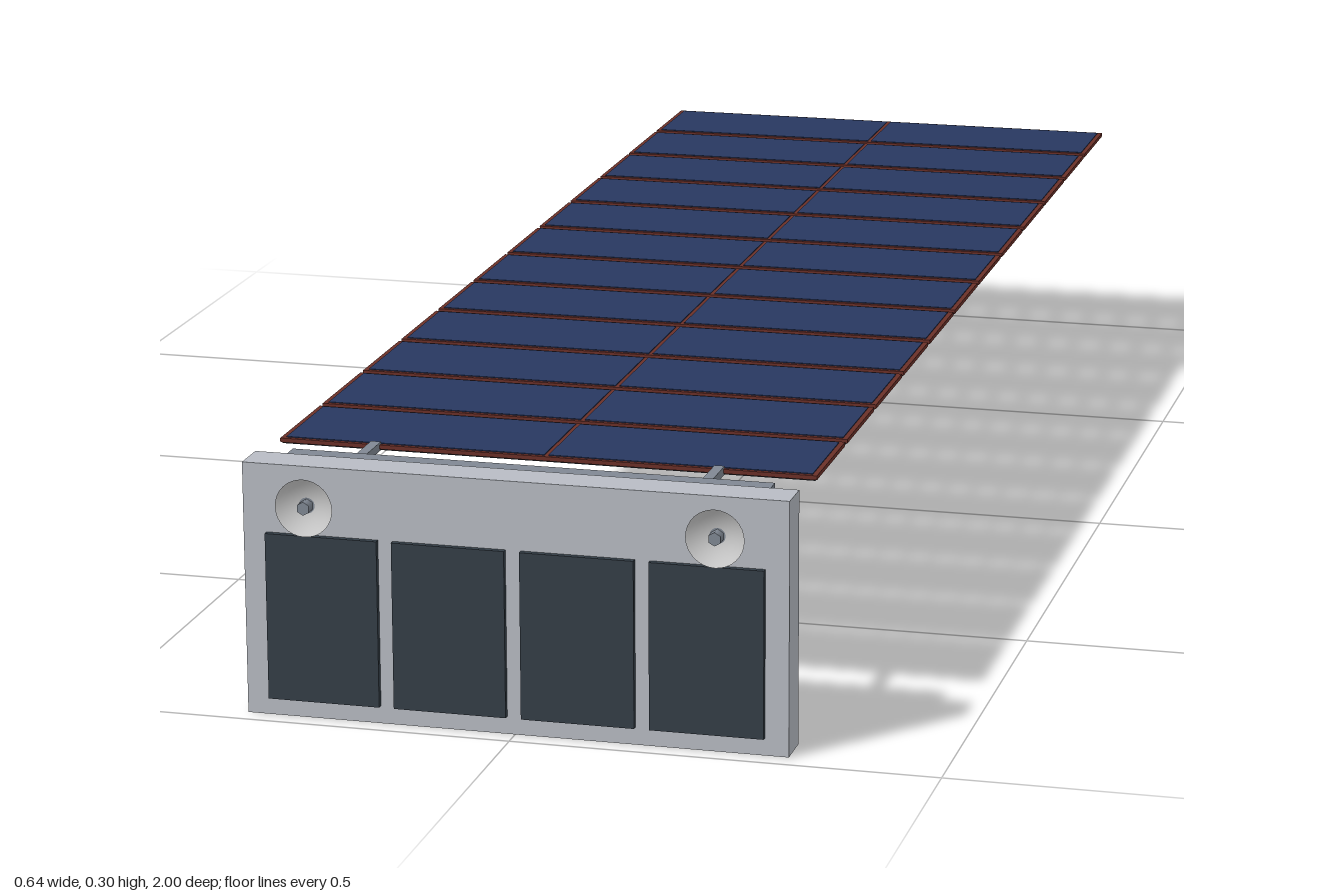
import * as THREE from 'three';

const paint = (color, side = THREE.FrontSide) => new THREE.MeshStandardMaterial({ color, side });

export function createModel() {
  const model = new THREE.Group();
  const bodyGrey = paint(0xb8bcc4);
  const metal = paint(0x808893);
  const antennaDark = paint(0x343e47);
  const cellBlue = paint(0x283860);
  const frameRed = paint(0x6b3028);
  const backBlack = paint(0x222328);
  const dishWhite = paint(0xe4e4e4, THREE.DoubleSide);

  // Box given by its min and max corners
  function box(name, mat, [x0, y0, z0], [x1, y1, z1], parent = model) {
    const mesh = new THREE.Mesh(new THREE.BoxGeometry(x1 - x0, y1 - y0, z1 - z0), mat);
    mesh.position.set((x0 + x1) / 2, (y0 + y1) / 2, (z0 + z1) / 2);
    mesh.name = name;
    parent.add(mesh);
    return mesh;
  }

  // Cylinder lying along z
  function rod(name, mat, r, sides, x, y, z0, z1, parent = model) {
    const geo = new THREE.CylinderGeometry(r, r, z1 - z0, sides).rotateX(Math.PI / 2);
    const mesh = new THREE.Mesh(geo, mat);
    mesh.position.set(x, y, (z0 + z1) / 2);
    mesh.name = name;
    parent.add(mesh);
  }

  // Flat upright satellite body
  box('body', bodyGrey, [-0.32, 0, 0.93], [0.32, 0.3, 0.976]);

  // Four phased array antennas on the front
  for (const x of [-0.226, -0.0755, 0.0755, 0.226]) {
    box('antennaPanel', antennaDark, [x - 0.0665, 0.021, 0.974], [x + 0.0665, 0.219, 0.983]);
  }

  // Back fittings: hinge rail and thruster box
  box('hingeRail', metal, [-0.285, 0.279, 0.9], [0.285, 0.297, 0.932]);
  box('thrusterBox', metal, [-0.035, 0.052, 0.915], [0.035, 0.118, 0.932]);

  // Dish antennas and array arms, mirrored left and right
  const bowl = [];
  for (let i = 0; i <= 8; i++) {
    const r = 0.034 * i / 8;
    bowl.push(new THREE.Vector2(r, 0.013 * (i / 8) ** 2));
  }
  for (const s of [-1, 1]) {
    const dish = new THREE.Group();
    dish.name = 'dishAntenna';
    const reflector = new THREE.Mesh(new THREE.LatheGeometry(bowl, 32).rotateX(Math.PI / 2), dishWhite);
    reflector.position.z = 0.985;
    reflector.name = 'reflector';
    dish.add(reflector);
    rod('dishMount', metal, 0.01, 12, 0, 0, 0.974, 0.986, dish);
    rod('feedHorn', metal, 0.008, 6, 0, 0, 0.985, 1, dish);
    dish.position.set(s * 0.24, 0.257, 0);
    model.add(dish);
    box('arrayArm', metal, [s * 0.205 - 0.006, 0.284, 0.838], [s * 0.205 + 0.006, 0.294, 0.905]);
  }

  // Solar array: a chain of twelve thin panels running backwards
  const count = 12, pitch = 0.1545, length = 0.144;
  const array = new THREE.Group();
  array.name = 'solarArray';
  for (let i = 0; i < count; i++) {
    const z0 = -1 + i * pitch, z1 = z0 + length;
    const panel = new THREE.Group();
    panel.name = 'solarPanel';
    box('frame', frameRed, [-0.32, 0.2865, z0], [0.32, 0.2915, z1], panel);
    box('backSheet', backBlack, [-0.318, 0.285, z0 + 0.002], [0.318, 0.287, z1 - 0.002], panel);
    for (const s of [-1, 1]) {
      const a = s * 0.0025, b = s * 0.314;
      box('cells', cellBlue, [Math.min(a, b), 0.291, z0 + 0.005], [Math.max(a, b), 0.2925, z1 - 0.005], panel);
    }
    array.add(panel);
  }
  model.add(array);

  return model;
}
